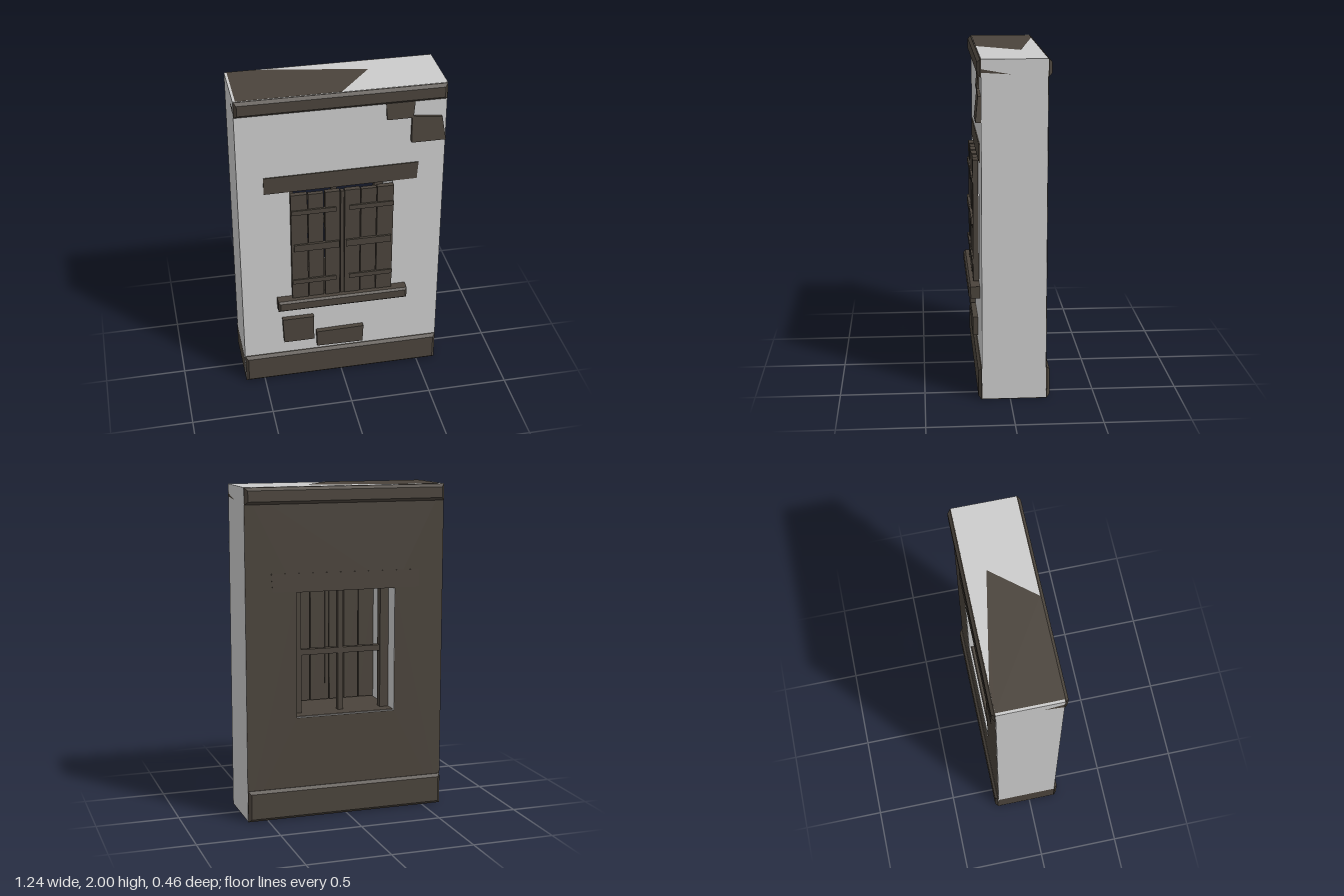
import * as THREE from 'three';

const plaster = new THREE.MeshStandardMaterial({ color: 0xcccccc });
plaster.name = 'pale plaster';
const timber = new THREE.MeshStandardMaterial({ color: 0x4a433b, side: THREE.DoubleSide });
timber.name = 'dark timber and stone';

function shapeOf(points) {
  return new THREE.Shape(points.map(([x, y]) => new THREE.Vector2(x, y)));
}
const rect = (x0, x1, y0, y1) => [[x0, y0], [x1, y0], [x1, y1], [x0, y1]];

export function createModel() {
  const model = new THREE.Group();

  function add(name, geometry, material = timber, parent = model) {
    const mesh = new THREE.Mesh(geometry, material);
    mesh.name = name;
    parent.add(mesh);
    return mesh;
  }
  // Box given by its limits
  function box(name, x0, x1, y0, y1, z0, z1, parent) {
    const g = new THREE.BoxGeometry(x1 - x0, y1 - y0, z1 - z0);
    g.translate((x0 + x1) / 2, (y0 + y1) / 2, (z0 + z1) / 2);
    return add(name, g, timber, parent);
  }
  // Outline extruded between two depths, with an optional chamfer inside the limits
  function slab(name, points, z0, z1, material = timber, hole = null) {
    const shape = shapeOf(points);
    if (hole) shape.holes.push(shapeOf(hole));
    const g = new THREE.ExtrudeGeometry(shape, { depth: z1 - z0, bevelEnabled: false });
    g.translate(0, 0, z0);
    return add(name, g, material);
  }
  function chamferBox(name, x0, x1, y0, y1, z0, z1, c) {
    const g = new THREE.ExtrudeGeometry(shapeOf(rect(x0 + c, x1 - c, y0 + c, y1 - c)), {
      depth: z1 - z0 - 2 * c, bevelThickness: c, bevelSize: c, bevelSegments: 1,
    });
    g.translate(0, 0, z0 + c);
    return add(name, g);
  }

  // Wall with window opening, and its dark rear face
  const opening = rect(-0.31, 0.31, 0.62, 1.38);
  slab('wall', rect(-0.62, 0.62, 0.004, 2), -0.21, 0.165, plaster, opening);
  const rear = shapeOf(rect(-0.62, 0.62, 0.004, 2));
  rear.holes.push(shapeOf(opening));
  add('rearFace', new THREE.ShapeGeometry(rear)).position.z = -0.212;

  // Beams across the head and foot of the wall
  chamferBox('topBeam', -0.619, 0.619, 1.9, 1.998, -0.232, 0.187, 0.017);
  chamferBox('baseBeam', -0.619, 0.619, 0, 0.19, -0.232, 0.187, 0.017);

  // Beam faces showing through on the top and ends
  const topPatch = add('topBeamFace', new THREE.ShapeGeometry(shapeOf(
    [[-0.605, -0.21], [-0.45, -0.21], [0.21, -0.09], [0, 0.165], [-0.605, 0.165]])));
  topPatch.rotation.x = Math.PI / 2;
  topPatch.position.y = 2.001;
  const ends = [
    ['baseBeamEnd', -0.622, rect(-0.21, 0.165, 0.015, 0.175)],
    ['topBeamLeftEnd', -0.622, [[0.165, 1.92], [0.165, 1.965], [0.05, 1.94]]],
    ['topBeamRightEnd', 0.622, [[0.165, 1.925], [0.165, 1.945], [0, 1.915]]],
  ];
  for (const [name, x, points] of ends) {
    const end = add(name, new THREE.ShapeGeometry(shapeOf(points)));
    end.rotation.y = -Math.PI / 2;
    end.position.x = x;
  }

  // Lintel and sill running through the wall
  slab('lintel', [[-0.465, 1.38], [0.455, 1.386], [0.463, 1.495], [-0.465, 1.488]], -0.214, 0.172);
  chamferBox('sill', -0.405, 0.405, 0.552, 0.625, -0.205, 0.232, 0.012);

  // Window frame bars inside the opening
  const frame = new THREE.Group();
  frame.name = 'windowFrame';
  model.add(frame);
  for (const s of [-1, 1]) {
    box('frameStile', s * 0.28 - 0.027, s * 0.28 + 0.027, 0.62, 1.38, -0.115, -0.065, frame);
  }
  box('mullion', -0.017, 0.017, 0.62, 1.38, -0.105, -0.07, frame);
  box('crossbar', -0.28, 0.28, 0.98, 1.015, -0.108, -0.068, frame);

  // Plank shutters with cleats
  const shutters = new THREE.Group();
  shutters.name = 'shutters';
  model.add(shutters);
  const planks = [
    [-0.312, -0.213], [-0.207, -0.115], [-0.106, -0.017], [-0.011, 0.01],
    [0.013, 0.107], [0.113, 0.207], [0.211, 0.31],
  ];
  planks.forEach(([a, b], i) =>
    box('plank', a, b, 0.63, 1.37 - (i % 2) * 0.005, 0.168, 0.2 - (i % 2) * 0.004, shutters));
  for (const s of [-1, 1]) {
    const cleat = (a, b, y0, y1, z) =>
      box('cleat', Math.min(s * a, s * b), Math.max(s * a, s * b), y0, y1, 0.19, z, shutters);
    cleat(0.04, 0.31, 1.235, 1.265, 0.208);
    cleat(0.02, 0.298, 0.978, 1.024, 0.212);
    cleat(0.04, 0.31, 0.738, 0.768, 0.208);
  }

  // Exposed stones set in the plaster
  const stones = [
    [[-0.37, 0.29], [-0.18, 0.29], [-0.18, 0.465], [-0.377, 0.465]],
    [[-0.16, 0.23], [0.133, 0.226], [0.138, 0.345], [-0.163, 0.34]],
    [[0.265, 1.8], [0.42, 1.8], [0.432, 1.91], [0.258, 1.91]],
    [[0.41, 1.645], [0.615, 1.645], [0.592, 1.79], [0.412, 1.81]],
  ];
  stones.forEach((points, i) => {
    const stone = slab('exposedStone', points, 0.15, 0.197);
    if (i < 2) return;
    // Upper stones sink into the wall towards their tops
    const p = stone.geometry.attributes.position;
    for (let k = 0; k < p.count; k++) {
      if (p.getZ(k) > 0.16) p.setZ(k, 0.197 - (p.getY(k) - 1.645) * 0.1);
    }
    stone.geometry.computeVertexNormals();
  });

  return model;
}
